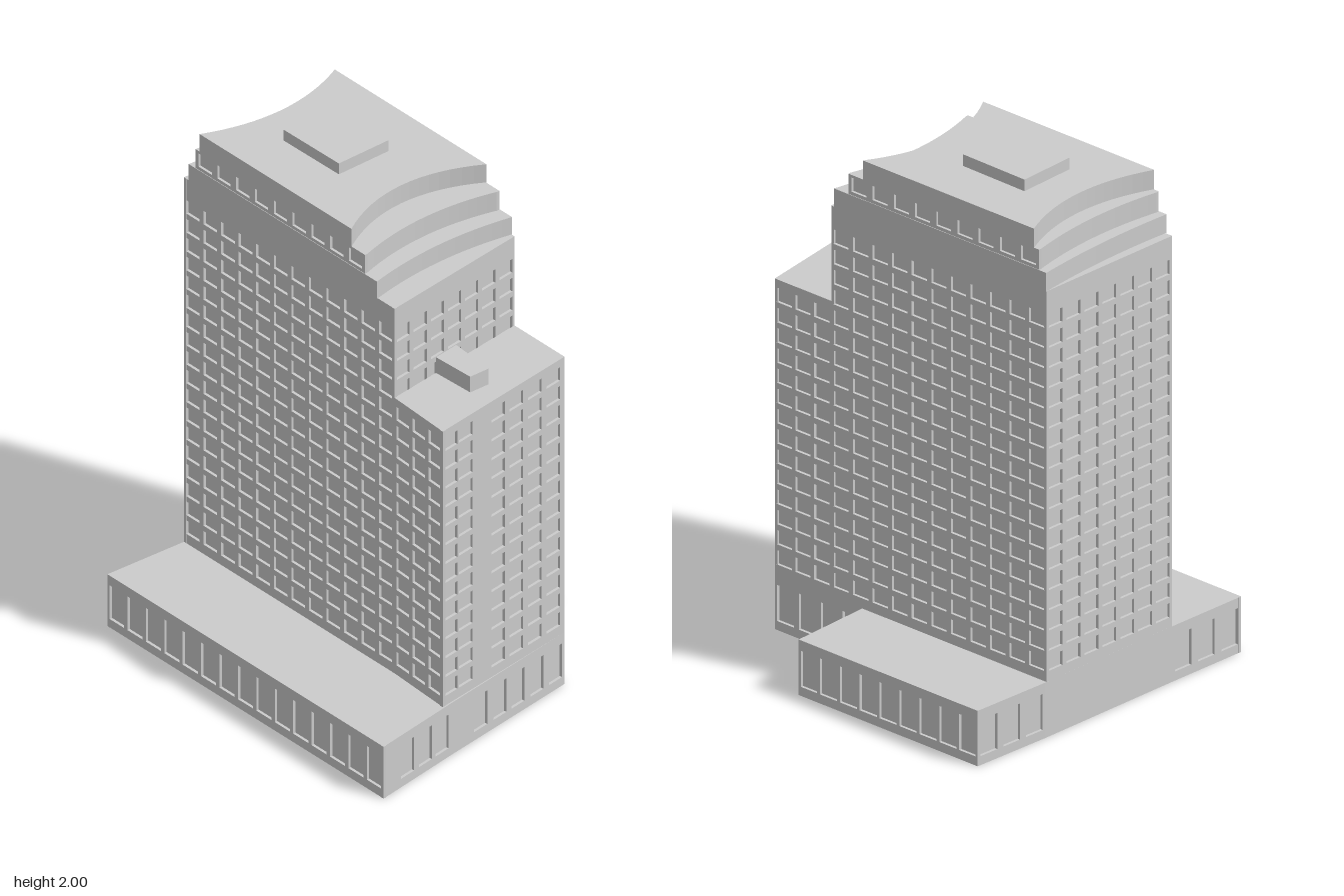
import * as THREE from 'three';

const material = new THREE.MeshStandardMaterial({ color: 0xcccccc, flatShading: true });
const DEPTH = 0.012; // window recess
const PITCH = 0.0783; // storey height

function mesh(name, geometry, parent) {
  const m = new THREE.Mesh(geometry, material);
  m.name = name;
  parent.add(m);
  return m;
}

// n evenly spaced window centres along a length
const even = (n, len) => Array.from({ length: n }, (_, i) => ((i + 0.5) * len) / n);
// window tops for n storeys, counted up from the lowest (or from storey `first`)
const storeys = (n, first = 0) => Array.from({ length: n }, (_, i) => 0.31 + (i + first) * PITCH);

// Upright wall from a to b ([x, z]) with recessed windows; outside is on the right hand of a -> b
function wall(name, parent, a, b, y0, y1, win = {}) {
  const { tops = [], w = 0.072, h = 0.056 } = win;
  const len = Math.hypot(b[0] - a[0], b[1] - a[1]);
  const centres = win.at ?? even(win.n ?? 0, len);
  const shape = new THREE.Shape([[0, y0], [len, y0], [len, y1], [0, y1]].map(p => new THREE.Vector2(...p)));
  for (const top of tops) for (const u of centres) {
    shape.holes.push(new THREE.Path([
      [u - w / 2, top - h], [u - w / 2, top], [u + w / 2, top], [u + w / 2, top - h],
    ].map(p => new THREE.Vector2(...p))));
  }
  const group = new THREE.Group();
  group.name = name;
  group.position.set(a[0], 0, a[1]);
  group.rotation.y = Math.atan2(a[1] - b[1], b[0] - a[0]);
  parent.add(group);
  mesh('facade', new THREE.ExtrudeGeometry(shape, { depth: DEPTH, bevelEnabled: false }), group).position.z = -DEPTH;
  if (tops.length) {
    const glass = mesh('windowPanes', new THREE.PlaneGeometry(len, y1 - y0), group);
    glass.position.set(len / 2, (y0 + y1) / 2, -DEPTH * 0.9);
  }
}

// Solid block with a footprint of [x, z] points
function prism(name, parent, pts, y0, y1) {
  const shape = new THREE.Shape(pts.map(([x, z]) => new THREE.Vector2(x, -z)));
  const g = new THREE.ExtrudeGeometry(shape, { depth: y1 - y0, bevelEnabled: false });
  g.rotateX(-Math.PI / 2);
  return mesh(name, g.translate(0, y0, 0), parent);
}

// Walled volume: one wall per footprint edge, closed with a roof slab and a floor
function block(name, parent, pts, y0, y1, windows) {
  const group = new THREE.Group();
  group.name = name;
  parent.add(group);
  windows.forEach((win, i) => {
    if (win) wall('wall' + (i + 1), group, pts[i], pts[(i + 1) % pts.length], y0, y1, win);
  });
  prism('roof', group, pts, y1 - 0.008, y1);
  prism('floor', group, pts, y0, y0 + 0.008);
}

// Footprint of a roof tier whose two ends are hollowed by a shallow curve
function tierOutline(xl, xr, bowL, bowR, zf, zb) {
  const pts = [];
  const N = 16;
  const ease = t => 1 - (2 * t - 1) ** 2;
  for (let i = 0; i <= N; i++) pts.push([xr - bowR * ease(i / N), zf + (zb - zf) * (i / N)]);
  for (let i = 0; i <= N; i++) pts.push([xl + bowL * ease(i / N), zb + (zf - zb) * (i / N)]);
  return pts;
}

export function createModel() {
  const model = new THREE.Group();
  model.name = 'towerBlock';

  // Podium with rear annex
  const shop = { tops: [0.175], w: 0.08, h: 0.14 };
  block('podium', model, [
    [-0.73, 0.64], [0.73, 0.64], [0.676, 0.28], [0.595, -0.315],
    [0.185, -0.315], [0.185, -0.645], [-0.655, -0.645], [-0.68, -0.32], [-0.71, 0.3],
  ], 0, 0.215, [
    { ...shop, n: 15 },
    { ...shop, w: 0.07, at: [0.13, 0.225, 0.315] },
    { ...shop, w: 0.07, at: [0.156, 0.258, 0.353, 0.454, 0.552] },
    { ...shop, n: 4 },
    { ...shop, at: [0.065, 0.185, 0.28] },
    { ...shop, n: 9 },
    { ...shop, n: 3 },
    {},
    { ...shop, n: 3 },
  ]);

  // Main tower
  const all = storeys(18);
  block('tower', model, [[-0.71, 0.303], [0.403, 0.303], [0.33, -0.315], [-0.68, -0.315]], 0.215, 1.73, [
    { tops: all, n: 12 },
    { tops: storeys(4, 14), n: 7, w: 0.068 },
    { tops: all, n: 11 },
    { tops: all, n: 7, w: 0.068 },
  ]);

  // Lower side wing, with a blank strip on its outer wall
  const low = storeys(14);
  block('wing', model, [[0.403, 0.303], [0.675, 0.318], [0.595, -0.315], [0.33, -0.315]], 0.215, 1.36, [
    { tops: low, n: 3 },
    { tops: low, at: [0.04, 0.12, 0.29, 0.385, 0.482, 0.579] },
    { tops: low, n: 3 },
    null,
  ]);
  prism('wingRoofHut', model, [[0.37, 0.09], [0.55, 0.082], [0.553, 0], [0.365, -0.015]], 1.355, 1.425);

  // Stepped roof tiers with hollowed ends
  const zf = 0.308, zb = -0.317;
  prism('lowerTier', model, tierOutline(-0.68, 0.315, 0.015, 0.035, zf, zb), 1.73, 1.802);
  prism('middleTier', model, tierOutline(-0.645, 0.25, 0.03, 0.045, zf - DEPTH, zb + DEPTH), 1.802, 1.88);
  const tierWindows = { tops: [1.87], n: 9, w: 0.07, h: 0.055 };
  wall('middleTierFront', model, [-0.645, zf - 0.002], [0.25, zf - 0.002], 1.802, 1.88, tierWindows);
  wall('middleTierBack', model, [0.25, zb + 0.002], [-0.645, zb + 0.002], 1.802, 1.88, tierWindows);
  prism('upperTier', model, tierOutline(-0.622, 0.18, 0.072, 0.095, zf, zb), 1.88, 1.955);

  // Rooftop plant room
  prism('plantRoom', model, [[-0.4, 0.115], [-0.11, 0.112], [-0.108, -0.115], [-0.4, -0.12]], 1.95, 2);

  return model;
}
